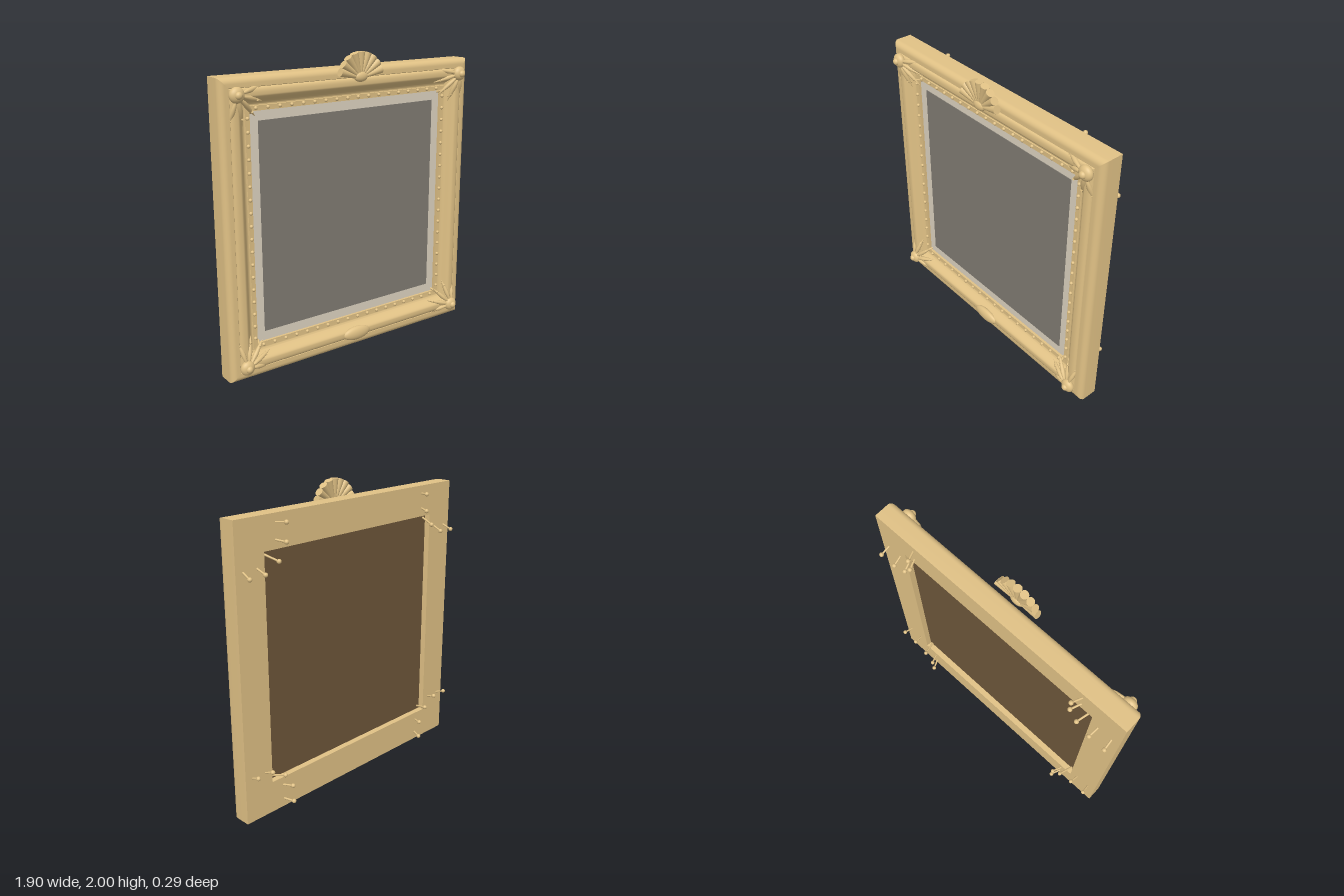
import * as THREE from 'three';
import { toCreasedNormals } from 'three/addons/utils/BufferGeometryUtils.js';

const CENTRE_Y = 0.95;
const V = (x, y, z) => new THREE.Vector3(x, y, z);
const UP = V(0, 1, 0);

// Part of an ellipse as [half size, z] points
function arc(cx, cz, rx, rz, from, to, n) {
  return Array.from({ length: n + 1 }, (_, i) => {
    const a = from + (to - from) * i / n;
    return [cx + rx * Math.cos(a), cz + rz * Math.sin(a)];
  });
}

// Smooth S-curve between two profile points
function sCurve(h0, z0, h1, z1, n) {
  return Array.from({ length: n + 1 }, (_, i) => {
    const t = i / n;
    return [h0 + (h1 - h0) * t, z0 + (z1 - z0) * (1 - Math.cos(Math.PI * t)) / 2];
  });
}

// One mitred rail: the profile swept between two 45 degree ends
function railGeometry(profile) {
  const pos = [];
  for (let i = 0; i < profile.length - 1; i++) {
    const [h0, z0] = profile[i], [h1, z1] = profile[i + 1];
    pos.push(-h0, h0, z0, -h1, h1, z1, h0, h0, z0);
    pos.push(h0, h0, z0, -h1, h1, z1, h1, h1, z1);
  }
  const g = new THREE.BufferGeometry();
  g.setAttribute('position', new THREE.Float32BufferAttribute(pos, 3));
  return toCreasedNormals(g, 0.6);
}

export function createModel() {
  const gold = new THREE.MeshStandardMaterial({ color: 0xe0c185 });
  gold.name = 'antique gold';
  const linen = new THREE.MeshStandardMaterial({ color: 0xdcd2c0 });
  linen.name = 'pale linen';
  const grey = new THREE.MeshStandardMaterial({ color: 0x807b72 });
  grey.name = 'picture grey';
  const brown = new THREE.MeshStandardMaterial({ color: 0x6d563a });
  brown.name = 'backing brown';

  const model = new THREE.Group();
  model.name = 'pictureFrame';
  const body = new THREE.Group();
  body.name = 'frameBody';
  body.position.y = CENTRE_Y;
  model.add(body);

  function add(parent, name, geometry, material, x = 0, y = 0, z = 0) {
    const m = new THREE.Mesh(geometry, material);
    m.name = name;
    m.position.set(x, y, z);
    parent.add(m);
    return m;
  }
  // Places a y-aligned geometry so that it starts at a and points to b
  function aim(mesh, a, b) {
    mesh.position.copy(a);
    mesh.quaternion.setFromUnitVectors(UP, b.clone().sub(a).normalize());
  }
  const ellipsoid = (rx, ry, rz) => new THREE.SphereGeometry(1, 28, 16).scale(rx, ry, rz);

  // Moulding: rounded outer edge, low dome, slope down to the bead bed, rebate
  const profile = [
    [0.95, -0.07],
    ...arc(0.912, 0.03, 0.038, 0.04, 0, Math.PI / 2, 8),
    [0.889, 0.07], [0.886, 0.066],
    ...arc(0.855, 0.066, 0.031, 0.017, 0, Math.PI / 2, 6),
    ...sCurve(0.842, 0.083, 0.778, 0.025, 12),
    [0.773, 0.025], [0.771, 0.03], [0.74, 0.03],
    [0.74, -0.07], [0.95, -0.07],
  ];
  const rail = railGeometry(profile);
  const bead = new THREE.SphereGeometry(0.0115, 12, 8);
  for (let s = 0; s < 4; s++) {
    const side = new THREE.Group();
    side.name = 'frameSide';
    side.rotation.z = s * Math.PI / 2;
    body.add(side);
    add(side, 'rail', rail, gold);
    for (let i = 0; i < 18; i++) add(side, 'bead', bead, gold, -0.7 + i * 1.4 / 17, 0.757, 0.034);
  }

  // Backing, linen liner and picture
  add(body, 'backing', new THREE.BoxGeometry(1.48, 1.48, 0.034), brown, 0, 0, -0.013);
  add(body, 'liner', new THREE.BoxGeometry(1.48, 1.48, 0.009), linen, 0, 0, 0.0085);
  add(body, 'picture', new THREE.BoxGeometry(1.355, 1.355, 0.005), grey, 0, 0, 0.0145);

  // Corner ornaments: boss, five leaves, and pins reaching through to the back
  const leaf = new THREE.LatheGeometry(
    [[0, 0], [0.01, 0.03], [0.016, 0.075], [0.011, 0.13], [0, 0.185]].map(([r, y]) => new THREE.Vector2(r, y)), 12);
  const pinLength = V(0.085, 0.205, 0).length();
  const pin = new THREE.CylinderGeometry(0.006, 0.008, pinLength, 10).translate(0, pinLength / 2, 0);
  const pinHead = new THREE.SphereGeometry(0.0145, 14, 10);
  for (let c = 0; c < 4; c++) {
    const turn = new THREE.Group();
    turn.name = 'cornerOrnament';
    turn.rotation.z = c * Math.PI / 2;
    body.add(turn);
    const corner = new THREE.Group();
    corner.name = 'cornerCluster';
    corner.position.set(0.852, 0.852, 0);
    turn.add(corner);
    add(corner, 'boss', ellipsoid(0.048, 0.048, 0.032), gold, 0, 0, 0.095);
    add(corner, 'bossCap', ellipsoid(0.023, 0.023, 0.021), gold, 0, 0, 0.12);
    for (const offset of [-57, -29, 0, 29, 57]) {
      const a = THREE.MathUtils.degToRad(225 + offset);
      const at = (r, z) => V(r * Math.cos(a), r * Math.sin(a), z);
      aim(add(corner, 'leaf', leaf, gold), at(0.025, 0.103), at(0.2, 0.042));
      const tip = at(0.235, -0.133);
      aim(add(corner, 'pin', pin, gold), at(0.15, 0.072), tip);
      add(corner, 'pinHead', pinHead, gold, tip.x, tip.y, tip.z);
    }
  }

  // Shell crest: nine tapered ribs fanned around a hub
  const crest = new THREE.Group();
  crest.name = 'shellCrest';
  crest.position.set(0, 1.838, 0.115);
  model.add(crest);
  const rib = new THREE.CylinderGeometry(0.027, 0.008, 0.162, 14).translate(0, 0.081, 0);
  for (let i = 0; i < 9; i++) {
    add(crest, 'shellRib', rib, gold).rotation.z = THREE.MathUtils.degToRad(-74 + i * 18.5);
  }
  add(crest, 'shellHub', ellipsoid(0.05, 0.033, 0.024), gold, 0, 0.008, 0);

  // Oval cartouche on the lower rail
  add(model, 'cartouche', ellipsoid(0.108, 0.048, 0.03), gold, 0, 0.095, 0.08);

  return model;
}
